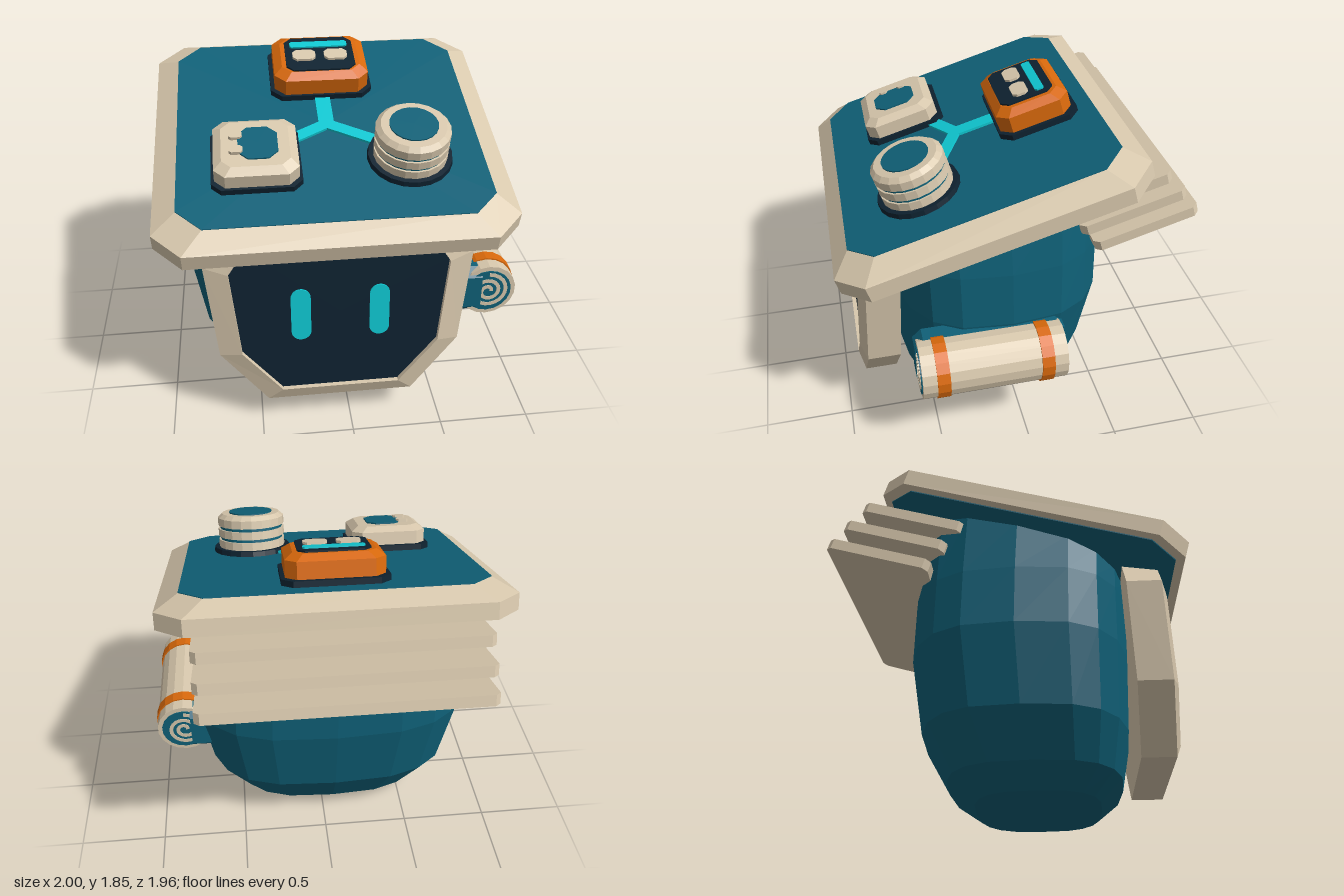
import * as THREE from 'three';

const mat = (name, color) => Object.assign(new THREE.MeshStandardMaterial({ color }), { name });
const M = {
  teal: mat('teal', 0x0f6077),
  cream: mat('cream', 0xd8c8ad),
  dark: mat('dark navy', 0x0e2230),
  orange: mat('orange', 0xd9690c),
  cyan: mat('cyan', 0x0fc8d2),
};
const TILT = 0.285; // slope of the lid towards the front

function add(parent, name, geometry, material, x = 0, y = 0, z = 0) {
  const g = geometry.index ? geometry.toNonIndexed() : geometry;
  g.computeVertexNormals(); // faceted
  const mesh = new THREE.Mesh(g, material);
  mesh.name = name;
  mesh.position.set(x, y, z);
  parent.add(mesh);
  return mesh;
}

// Skin over matching loops, each counter-clockwise seen from the last loop's side
function loft(loops, capStart = true, capEnd = true) {
  const p = [];
  const tri = (...v) => v.forEach((q) => p.push(q.x, q.y, q.z));
  const n = loops[0].length;
  const mid = (l) => l.reduce((s, q) => s.add(q), new THREE.Vector3()).divideScalar(n);
  for (let i = 0; i < n; i++) {
    const j = (i + 1) % n;
    for (let k = 0; k + 1 < loops.length; k++) {
      const a = loops[k], b = loops[k + 1];
      tri(a[i], a[j], b[j]);
      tri(a[i], b[j], b[i]);
    }
    const s = loops[0], e = loops[loops.length - 1];
    if (capStart) tri(mid(s), s[j], s[i]);
    if (capEnd) tri(mid(e), e[i], e[j]);
  }
  const g = new THREE.BufferGeometry();
  g.setAttribute('position', new THREE.Float32BufferAttribute(p, 3));
  return g;
}

// Rectangle with cut corners at height y
function octagon(w, d, c, y) {
  const a = w / 2, b = d / 2;
  return [[a, c - b], [a, b - c], [a - c, b], [c - a, b], [-a, b - c], [-a, c - b], [c - a, -b], [a - c, -b]]
    .map(([x, v]) => new THREE.Vector3(x, y, -v));
}

// Block with cut corners and a bevelled top, standing on its origin
function block(w, d, h, cut, bevel = 0) {
  const loops = [octagon(w, d, cut, 0), octagon(w, d, cut, h - bevel * 0.7)];
  if (bevel) loops.push(octagon(w - 2 * bevel, d - 2 * bevel, cut * 0.85, h));
  return loft(loops);
}

function buildBody(head) {
  // y, half width, half depth, depth centre
  const rows = [[0, 0.44, 0.35, 0.15], [0.11, 0.6, 0.485, 0.135], [0.35, 0.75, 0.575, 0.09],
    [0.77, 0.825, 0.615, 0.065], [1.1, 0.81, 0.615, 0.07], [null, 0.77, 0.61, 0.08]];
  const power = (v) => Math.sign(v) * Math.abs(v) ** 0.68;
  const loops = rows.map(([y, hx, hz, cz]) => Array.from({ length: 20 }, (_, i) => {
    const t = (i / 20) * Math.PI * 2;
    const z = cz - hz * power(Math.sin(t));
    return new THREE.Vector3(hx * power(Math.cos(t)), y ?? 1.43 - 0.293 * z, z);
  }));
  add(head, 'body', loft(loops), M.teal);
}

function buildFace(head) {
  const outline = (half, z) => [...half, ...half.map(([x, y]) => [-x, y]).reverse()]
    .map(([x, y]) => new THREE.Vector3(x, y, z - 0.05 * (y - 0.5)));
  const outer = [[0.4, 0.175], [0.65, 0.5], [0.705, 1.05], [0.58, 1.22]];
  const inner = [[0.32, 0.26], [0.53, 0.52], [0.577, 1.02], [0.49, 1.15]];
  add(head, 'faceFrame', loft([outline(outer, 0.68), outline(outer, 0.865),
    outline(inner, 0.902), outline(inner, 0.87)], true, false), M.cream);
  add(head, 'screen', loft([outline(inner, 0.868), outline(inner, 0.876)]), M.dark);

  // Pill-shaped eyes
  const r = 0.053, h = 0.105;
  const pill = new THREE.Shape();
  pill.absarc(0, h, r, 0, Math.PI);
  pill.absarc(0, -h, r, Math.PI, Math.PI * 2);
  for (const x of [-0.21, 0.21]) {
    const eye = add(head, 'eye', new THREE.ExtrudeGeometry(pill, { depth: 0.008, bevelEnabled: false, curveSegments: 8 }),
      M.cyan, x, 0.735, 0.865);
    eye.rotation.x = -0.05;
  }
}

function buildLid(lid) {
  const rim = [octagon(1.88, 1.692, 0.15, 1.355), octagon(1.88, 1.692, 0.15, 1.448), octagon(1.63, 1.478, 0.13, 1.518)];
  add(lid, 'lidRim', loft(rim), M.cream, 0, 0, -0.244);
  add(lid, 'lidTop', block(1.63, 1.478, 0.006, 0.13), M.teal, 0, 1.516, -0.244);
  add(lid, 'lidUnderside', block(1.78, 1.6, 0.008, 0.14), M.teal, 0, 1.349, -0.244);
  // Neck slats at the back
  [[1.25, -0.896], [1.112, -0.956], [0.976, -1.003]].forEach(([y, z]) =>
    add(lid, 'backSlat', block(1.52, 0.59, 0.06, 0.03), M.cream, 0, y, z));
}

function buildGadgets(lid) {
  const top = 1.52;
  // Cyan branching line
  [[0, -0.46, 0.085], [-0.23, -0.095, 0.07], [0.27, -0.06, 0.07]].forEach(([x, z, w]) => {
    const dx = x, dz = z + 0.22, len = Math.hypot(dx, dz);
    const line = add(lid, 'signalLine', new THREE.BoxGeometry(w, 0.016, len + 0.03), M.cyan, dx / 2, top + 0.008, -0.22 + dz / 2);
    line.rotation.y = Math.atan2(dx, dz);
  });

  // Orange unit with a display
  add(lid, 'orangeUnitBase', block(0.575, 0.45, 0.035, 0.06), M.dark, 0, top, -0.667);
  add(lid, 'orangeUnit', block(0.53, 0.41, 0.16, 0.06, 0.045), M.orange, 0, top, -0.66);
  add(lid, 'displayPanel', block(0.39, 0.3, 0.012, 0.04), M.dark, 0, top + 0.158, -0.652);
  add(lid, 'displayBar', block(0.33, 0.05, 0.009, 0.01), M.cyan, 0, top + 0.17, -0.73);
  for (const x of [-0.09, 0.09])
    add(lid, 'displayButton', block(0.13, 0.088, 0.014, 0.022), M.cream, x, top + 0.17, -0.627);

  // Cream box unit
  const bx = -0.4, bz = 0.048;
  add(lid, 'boxUnitBase', block(0.468, 0.46, 0.035, 0.05), M.dark, bx, top, bz - 0.005);
  add(lid, 'boxUnit', block(0.435, 0.42, 0.14, 0.055, 0.042), M.cream, bx, top, bz);
  add(lid, 'boxInlay', block(0.205, 0.235, 0.009, 0.05), M.teal, bx + 0.013, top + 0.139, bz + 0.003);
  for (const z of [-0.055, 0.055])
    add(lid, 'boxButton', block(0.07, 0.05, 0.02, 0.012), M.cream, bx - 0.1, top + 0.139, bz + z);

  // Round stacked unit
  const disc = (name, r1, r2, y0, y1, m) => add(lid, name,
    new THREE.CylinderGeometry(r2, r1, y1 - y0, 20), m, 0.415, (y0 + y1) / 2, 0.065);
  disc('drumBase', 0.23, 0.225, top, 1.55, M.dark);
  disc('drumCore', 0.187, 0.187, 1.55, 1.7, M.teal);
  disc('drumRing', 0.198, 0.198, 1.55, 1.596, M.cream);
  disc('drumRing', 0.198, 0.198, 1.614, 1.66, M.cream);
  disc('drumRing', 0.198, 0.198, 1.678, 1.725, M.cream);
  disc('drumCap', 0.198, 0.172, 1.725, 1.748, M.cream);
  disc('drumInlay', 0.128, 0.128, 1.746, 1.755, M.teal);
}

function buildScroll(scroll) {
  // Mounting bracket against the side of the body
  const bracket = add(scroll, 'scrollBracket', block(0.3, 0.84, 0.125, 0.05, 0.02), M.teal, -0.04, 0, 0);
  bracket.rotation.z = Math.PI / 2;

  const roll = (name, r, len, z, m) => {
    const g = new THREE.CylinderGeometry(r, r, len, 18).rotateX(Math.PI / 2);
    return add(scroll, name, g, m, 0, 0, z);
  };
  roll('scrollRoll', 0.162, 0.795, 0.01, M.cream);
  roll('scrollBand', 0.17, 0.07, 0.295, M.orange);
  roll('scrollBand', 0.17, 0.07, -0.275, M.orange);

  // Spiral ribbon on both ends
  const edge = (w) => Array.from({ length: 49 }, (_, i) => {
    const t = i / 48, a = t * Math.PI * 4.5, r = 0.018 + 0.095 * t + w;
    return new THREE.Vector2(r * Math.cos(a), r * Math.sin(a));
  });
  const spiral = new THREE.Shape([...edge(0.011), ...edge(-0.011).reverse()]);
  for (const s of [1, -1]) {
    const end = new THREE.Group();
    end.name = 'scrollEnd';
    end.position.z = 0.01 + s * 0.3975;
    end.rotation.y = s > 0 ? 0 : Math.PI;
    add(end, 'scrollEndDisc', new THREE.CylinderGeometry(0.135, 0.135, 0.008, 18).rotateX(Math.PI / 2), M.teal, 0, 0, 0.002);
    add(end, 'scrollSpiral', new THREE.ExtrudeGeometry(spiral, { depth: 0.006, bevelEnabled: false }), M.cream, 0, 0, 0.004);
    scroll.add(end);
  }
}

export function createModel() {
  const model = new THREE.Group();
  model.name = 'robotHead';
  const group = (name, parent, x, y, z) => {
    const g = new THREE.Group();
    g.name = name;
    g.position.set(x, y, z);
    parent.add(g);
    return g;
  };
  const head = group('head', model, -0.06, 0, 0);
  buildBody(head);
  buildFace(head);
  const lid = group('lid', head, 0, 0, 0);
  lid.rotation.x = TILT;
  buildLid(lid);
  buildGadgets(lid);
  buildScroll(group('scroll', model, 0.83, 0.607, 0.198));
  return model;
}
